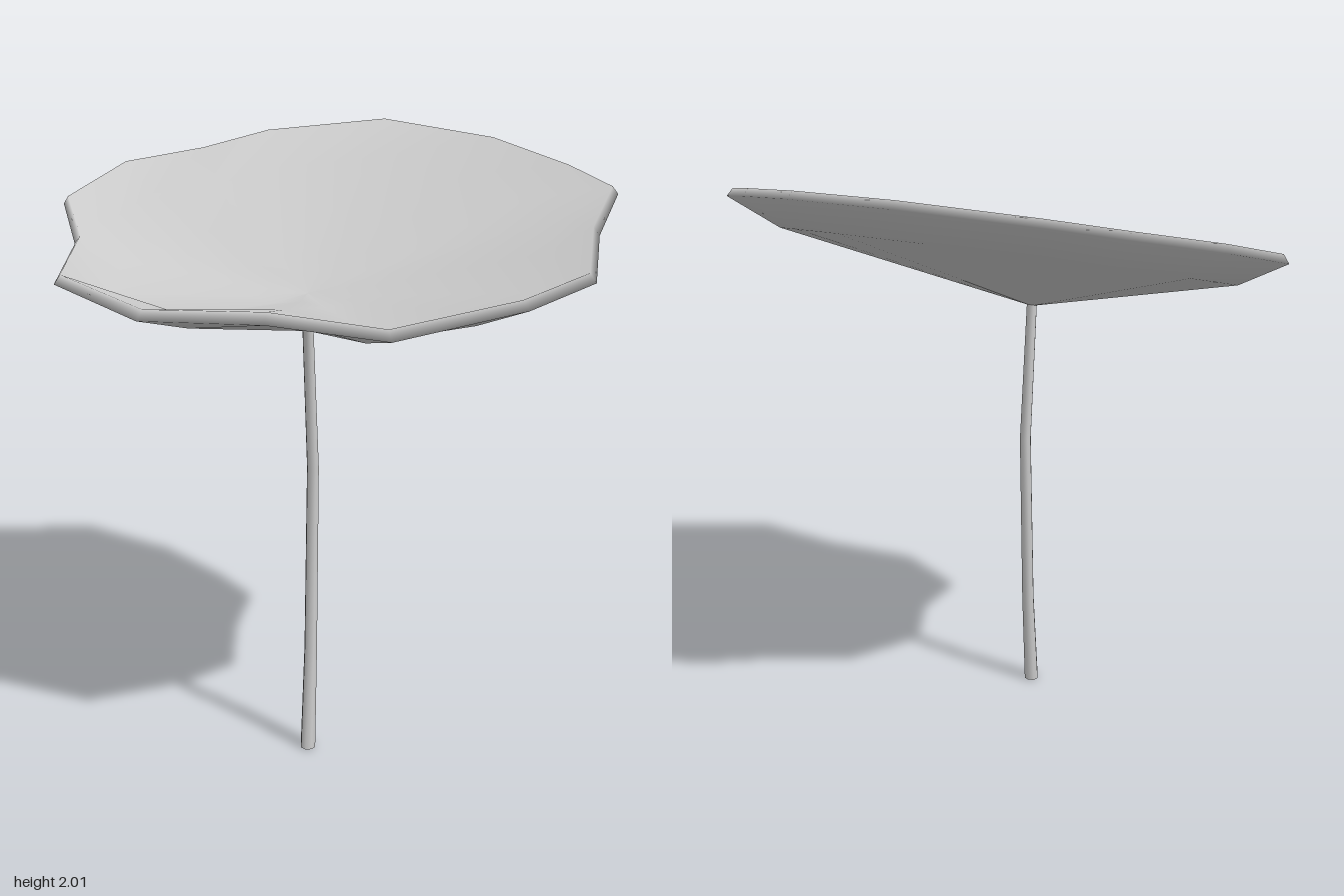
import * as THREE from 'three';

const material = new THREE.MeshStandardMaterial({ color: 0xcccccc });
const HUB = { x: 0.022, z: 0.24 };

// Skin a stack of closed rings, each an array of [x, y, z]
function loft(rings, name) {
  const n = rings[0].length, index = [];
  for (let i = 0; i < rings.length - 1; i++) {
    for (let j = 0; j < n; j++) {
      const a = i * n + j, b = i * n + (j + 1) % n;
      index.push(a, a + n, b, b, a + n, b + n);
    }
  }
  const geometry = new THREE.BufferGeometry();
  geometry.setAttribute('position', new THREE.Float32BufferAttribute(rings.flat(2), 3));
  geometry.setIndex(index);
  geometry.computeVertexNormals();
  const mesh = new THREE.Mesh(geometry, material);
  mesh.name = name;
  return mesh;
}

// Wavy leaf outline (x, z), clockwise from the back tip
const outline = [
  [0.02, -0.673], [0.44, -0.56], [0.73, -0.38], [0.89, -0.245],
  [0.87, 0.02], [0.90, 0.29], [0.74, 0.46], [0.40, 0.667],
  [0.02, 0.635], [-0.36, 0.667], [-0.70, 0.51], [-0.745, 0.27],
  [-0.905, 0.02], [-0.81, -0.25], [-0.57, -0.385], [-0.38, -0.545],
];

// A leaf ring: outline pulled in by inset, scaled by t about the hub,
// and dropped by depth below the tilted rim plane
function leafRing([t, inset, depth]) {
  return outline.map(([px, pz]) => {
    const dx = px - HUB.x, dz = pz - HUB.z;
    const s = t * (1 - inset / Math.hypot(dx, dz));
    const z = HUB.z + dz * s;
    return [HUB.x + dx * s, 1.78 - 0.305 * z - depth, z];
  });
}

// A round stem ring
function stemRing([y, z, r], sides = 8) {
  return Array.from({ length: sides }, (_, i) => {
    const a = i / sides * Math.PI * 2;
    return [HUB.x + r * Math.cos(a), y, z + r * Math.sin(a)];
  });
}

export function createModel() {
  const group = new THREE.Group();
  group.name = 'leafOnStem';

  // Conical underside, thin rim, then the shallow dish on top
  const profile = [
    [0, 0, 0.24], [1, 0.165, 0.082], [1, 0, 0],
    [1, 0.02, -0.028], [1, 0.165, 0.045], [0.3, 0.165, 0.108], [0, 0, 0.12],
  ];
  group.add(loft(profile.map(leafRing), 'leaf'));

  // Bent stem with a closed foot; the doubled ring keeps its edge sharp
  const stem = [
    [0, 0.26, 0], [0, 0.26, 0.026], [0, 0.26, 0.026],
    [0.36, 0.225, 0.022], [1, 0.195, 0.02], [1.49, 0.243, 0.018],
  ];
  group.add(loft(stem.map(s => stemRing(s)), 'stem'));
  return group;
}
